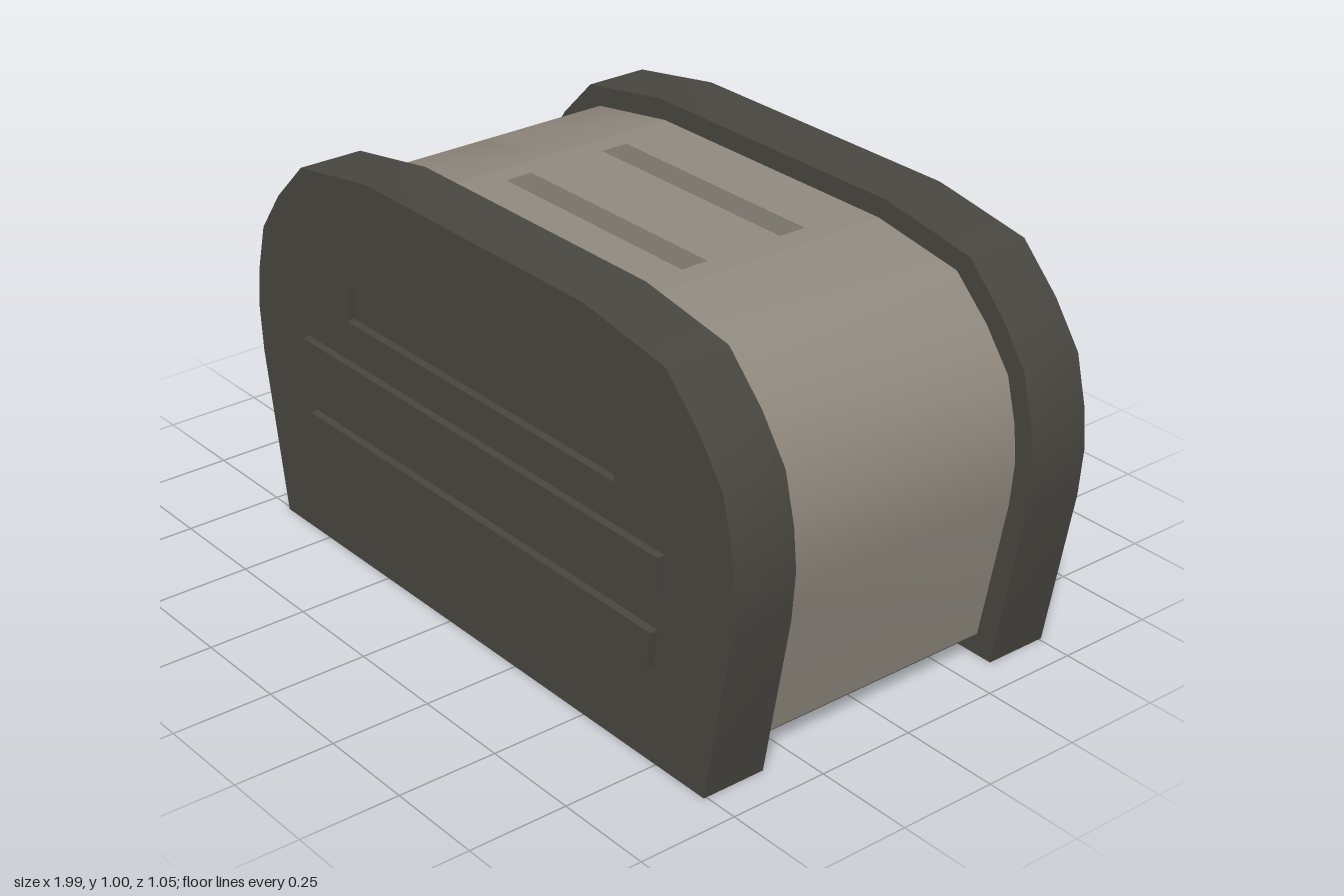
import * as THREE from 'three';
import { toCreasedNormals } from 'three/addons/utils/BufferGeometryUtils.js';

const CX = 0.115; // the housing sits off-centre because the lever sticks out
const dark = new THREE.MeshStandardMaterial({ color: 0x484640 });
const metal = new THREE.MeshStandardMaterial({ color: 0x8f887e });
const metalDouble = new THREE.MeshStandardMaterial({ color: 0x8f887e, side: THREE.DoubleSide });
const metalInside = new THREE.MeshStandardMaterial({ color: 0x8f887e, side: THREE.BackSide });

// Half outline (offset from CX, height), bottom to top
const half = [[0.795, 0], [0.87, 0.41], [0.88, 0.53], [0.87, 0.63], [0.84, 0.75],
  [0.765, 0.855], [0.66, 0.96], [0.395, 1.005]];
const bodyHalf = half.map(([x, y]) => [x * 0.943, 0.055 + y * 0.896]);

// Symmetric vent strips: bottom half-width, top half-width, low, high
const vents = [[0.625, 0.64, 0.245, 0.34], [0.655, 0.66, 0.44, 0.53]];
const recess = [0.495, 0.48, 0.63, 0.725];

function add(parent, name, geometry, material) {
  const mesh = new THREE.Mesh(geometry, material);
  mesh.name = name;
  parent.add(mesh);
  return mesh;
}

const trapezoid = ([b, t, y0, y1]) =>
  [[-b, y0], [b, y0], [t, y1], [-t, y1]].map(([x, y]) => new THREE.Vector2(x, y));

const extrude = (shape, depth) =>
  new THREE.ExtrudeGeometry(shape, { depth, bevelEnabled: false });

// Surface swept along z from a profile running counter-clockwise
function strip(profile, z0, z1) {
  const pos = [], index = [];
  profile.forEach(([x, y], i) => {
    pos.push(x, y, z0, x, y, z1);
    const a = 2 * i;
    if (i < profile.length - 1) index.push(a, a + 2, a + 3, a, a + 3, a + 1);
  });
  const g = new THREE.BufferGeometry();
  g.setAttribute('position', new THREE.Float32BufferAttribute(pos, 3));
  g.setIndex(index);
  g.computeVertexNormals();
  return g;
}

function endPanel() {
  const panel = new THREE.Group();
  const points = [...half, ...half.map(([x, y]) => [-x, y]).reverse()];
  const shape = new THREE.Shape(points.map(([x, y]) => new THREE.Vector2(x, y)));
  shape.holes.push(new THREE.Path(trapezoid(recess)));
  add(panel, 'panelPlate', toCreasedNormals(extrude(shape, 0.165), 0.4), dark);
  // Floor of the recessed upper vent
  add(panel, 'recessFloor', extrude(new THREE.Shape(trapezoid(recess)), 0.145), dark);
  for (const v of vents) {
    const rib = add(panel, 'raisedVent', extrude(new THREE.Shape(trapezoid(v)), 0.03), dark);
    rib.position.z = 0.155;
  }
  return panel;
}

function housing() {
  const body = new THREE.Group();
  body.name = 'housing';
  const Z = 0.342, slit = 0.011, slitLow = 0.25, slitHigh = 0.7;
  add(body, 'rightWall', strip(bodyHalf.map(([x, y]) => [CX + x, y]), -Z, Z), metalDouble);

  // Lever-side wall, split around a narrow vertical slit
  const left = bodyHalf.map(([x, y]) => [CX - x, y]).reverse();
  const at = (y) => {
    const i = left.findIndex((p) => p[1] <= y);
    const [x0, y0] = left[i - 1], [x1, y1] = left[i];
    return [x0 + (x1 - x0) * (y - y0) / (y1 - y0), y];
  };
  const top = [...left.filter((p) => p[1] > slitHigh), at(slitHigh)];
  const mid = [at(slitHigh), ...left.filter((p) => p[1] < slitHigh && p[1] > slitLow), at(slitLow)];
  const low = [at(slitLow), ...left.filter((p) => p[1] < slitLow)];
  const whole = [...top, ...mid.slice(1), ...low.slice(1)];
  add(body, 'leftWallBack', strip(whole, -Z, -slit), metalDouble);
  add(body, 'leftWallFront', strip(whole, slit, Z), metalDouble);
  add(body, 'leftWallAboveSlit', strip(top, -slit, slit), metalDouble);
  add(body, 'leftWallBelowSlit', strip(low, -slit, slit), metalDouble);
  // Channel behind the slit
  const inner = mid.map(([x, y]) => [x + 0.035, y]);
  add(body, 'slitFloor', strip(inner, -slit, slit), metalDouble);
  const side = new THREE.Shape([...mid, ...inner.reverse()].map(([x, y]) => new THREE.Vector2(x, y)));
  for (const z of [-slit, slit]) {
    add(body, 'slitSide', new THREE.ShapeGeometry(side), metalDouble).position.z = z;
  }

  // Flat top with two bread slots
  const [tx, ty] = bodyHalf[bodyHalf.length - 1];
  const rect = (x, z, cz) => [[-x, cz - z], [x, cz - z], [x, cz + z], [-x, cz + z]]
    .map(([a, b]) => new THREE.Vector2(a, b));
  const deck = new THREE.Shape(rect(tx, Z, 0));
  const sx = 0.313, sz = 0.036, depth = 0.5;
  for (const z of [-0.14, 0.14]) {
    deck.holes.push(new THREE.Path(rect(sx, sz, z)));
    const well = new THREE.BoxGeometry(2 * sx, depth, 2 * sz);
    const index = Array.from(well.index.array);
    index.splice(12, 6); // open the upper face
    well.setIndex(index);
    add(body, 'breadSlot', well, metalInside).position.set(CX, ty - depth / 2, z);
  }
  const deckMesh = add(body, 'topDeck', new THREE.ShapeGeometry(deck).rotateX(-Math.PI / 2), metal);
  deckMesh.position.set(CX, ty, 0);

  // Dark base plate
  const base = add(body, 'basePlate', new THREE.BoxGeometry(2 * bodyHalf[0][0], 0.01, 2 * Z), dark);
  base.position.set(CX, 0.058, 0);
  return body;
}

function lever() {
  const g = new THREE.Group();
  g.name = 'lever';
  add(g, 'leverArm', new THREE.BoxGeometry(0.25, 0.02, 0.016), metal).position.x = 0.125;
  add(g, 'leverKnob', new THREE.BoxGeometry(0.098, 0.042, 0.108), dark).position.x = -0.046;
  g.position.set(-0.903, 0.241, 0);
  g.rotation.z = 0.11;
  return g;
}

export function createModel() {
  const model = new THREE.Group();
  model.name = 'toaster';
  model.add(housing(), lever());
  const front = endPanel();
  front.name = 'frontPanel';
  front.position.set(CX, 0, 0.342);
  const back = endPanel();
  back.name = 'backPanel';
  back.position.set(CX, 0, -0.342);
  back.rotation.y = Math.PI;
  model.add(front, back);
  return model;
}
